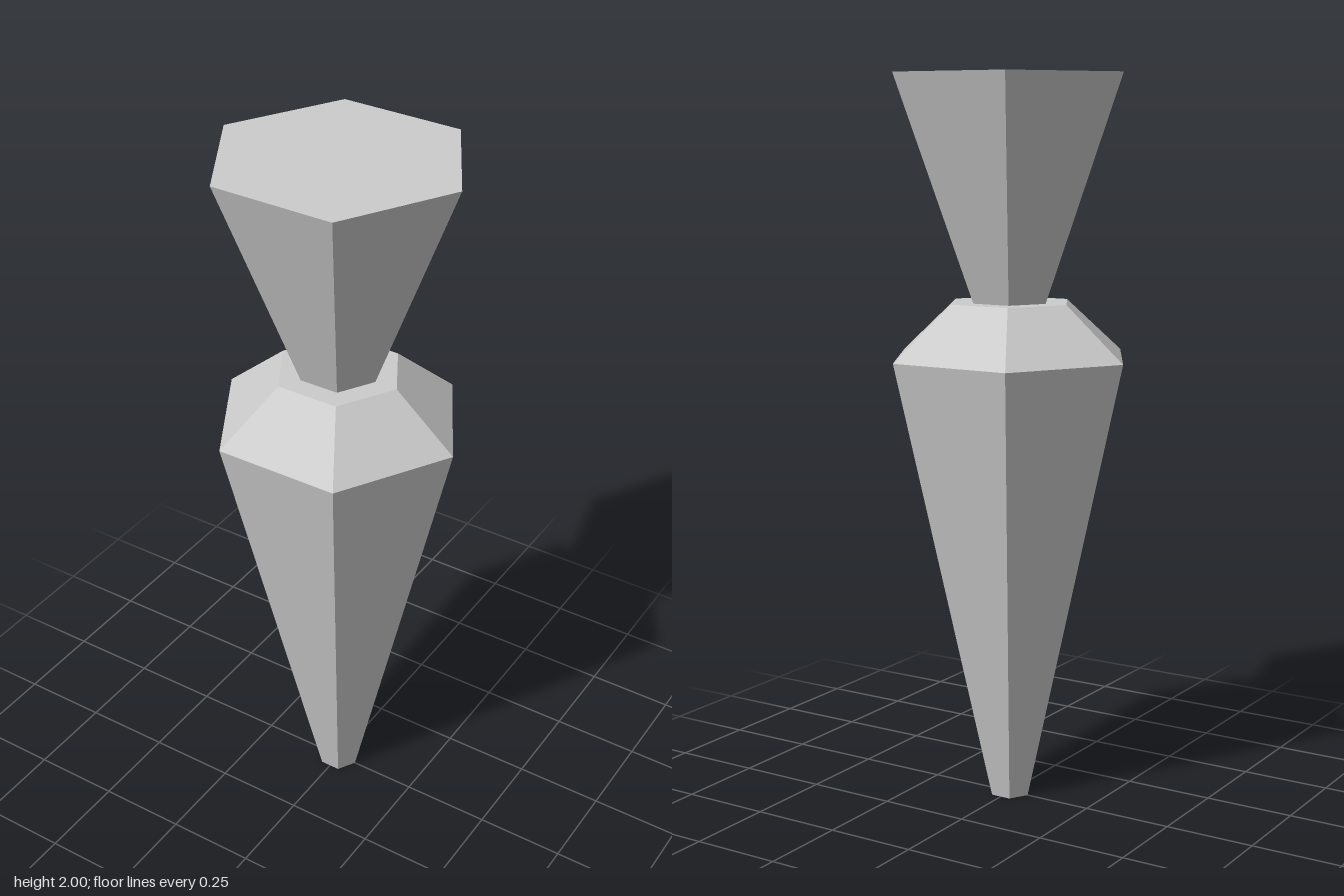
import * as THREE from 'three';

const SIDES = 6;

// Closed six-sided solid from [radius, height] pairs, bottom to top, with corners on the x axis
function hexSolid(name, profile, material) {
  const points = [
    [0, profile[0][1]],
    ...profile,
    [0, profile[profile.length - 1][1]],
  ].map(([r, y]) => new THREE.Vector2(r, y));
  const mesh = new THREE.Mesh(new THREE.LatheGeometry(points, SIDES, Math.PI / 2), material);
  mesh.name = name;
  return mesh;
}

export function createModel() {
  const group = new THREE.Group();
  group.name = 'taperedPeg';
  const grey = new THREE.MeshStandardMaterial({ color: 0xcccccc, flatShading: true });

  // Long tapered body with a bevelled shoulder
  group.add(hexSolid('body', [[0.058, 0], [0.35, 1.245], [0.177, 1.393]], grey));

  // Flared head, narrow where it meets the shoulder
  group.add(hexSolid('head', [[0.112, 1.393], [0.343, 2]], grey));

  return group;
}
